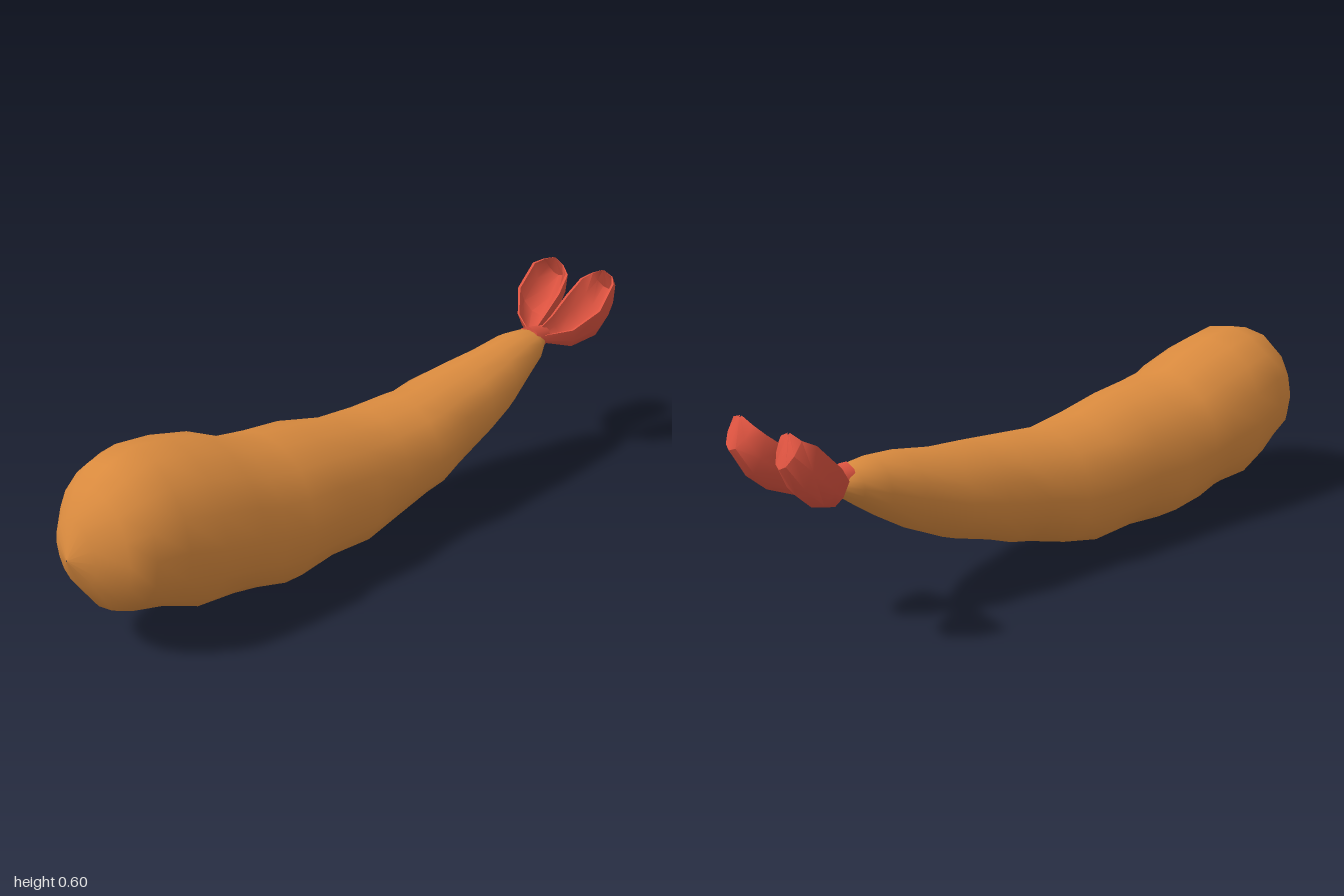
import * as THREE from 'three';
import { toCreasedNormals } from 'three/addons/utils/BufferGeometryUtils.js';

// Skin a list of closed rings (arrays of Vector3, all the same length).
function loft(rings, flip = false) {
  const n = rings[0].length, pos = [], idx = [];
  rings.forEach(r => r.forEach(p => pos.push(p.x, p.y, p.z)));
  for (let i = 0; i < rings.length - 1; i++) {
    for (let j = 0; j < n; j++) {
      const a = i * n + j, b = i * n + (j + 1) % n, c = a + n, d = b + n;
      if (flip) idx.push(a, b, c, b, d, c);
      else idx.push(a, c, b, b, c, d);
    }
  }
  const g = new THREE.BufferGeometry();
  g.setAttribute('position', new THREE.Float32BufferAttribute(pos, 3));
  g.setIndex(idx);
  return g;
}

// Body stations: z, top y, bottom y, right x, left x
const BODY = [
  [0.998, 0.29, 0.285, -0.002, 0.002],
  [0.97, 0.385, 0.21, -0.08, 0.08],
  [0.92, 0.46, 0.135, -0.14, 0.15],
  [0.87, 0.50, 0.115, -0.175, 0.19],
  [0.78, 0.522, 0.088, -0.205, 0.203],
  [0.67, 0.507, 0.05, -0.22, 0.212],
  [0.55, 0.478, 0.037, -0.217, 0.212],
  [0.47, 0.445, 0.02, -0.21, 0.205],
  [0.37, 0.43, 0.003, -0.20, 0.205],
  [0.25, 0.42, 0.015, -0.19, 0.20],
  [0.10, 0.39, 0.015, -0.185, 0.182],
  [-0.03, 0.378, 0.04, -0.177, 0.165],
  [-0.15, 0.388, 0.075, -0.15, 0.166],
  [-0.22, 0.39, 0.095, -0.147, 0.16],
  [-0.30, 0.402, 0.122, -0.14, 0.145],
  [-0.42, 0.415, 0.162, -0.13, 0.13],
  [-0.55, 0.435, 0.225, -0.10, 0.106],
  [-0.65, 0.445, 0.288, -0.083, 0.082],
  [-0.72, 0.441, 0.338, -0.062, 0.062],
  [-0.765, 0.425, 0.372, -0.035, 0.035],
  [-0.77, 0.4, 0.4, 0, 0],
];

// Bent, slightly lumpy body
function bodyGeometry() {
  const sides = 16;
  const g = loft(BODY.map(([z, top, bottom, x0, x1], i) => {
    const ring = [], cx = (x0 + x1) / 2, cy = (top + bottom) / 2;
    for (let j = 0; j < sides; j++) {
      const a = j / sides * Math.PI * 2;
      // lumps fade out on the silhouette axes
      const k = 1 + 0.025 * Math.sin(i * 2.1 + j * 1.7) * Math.abs(Math.sin(2 * a));
      ring.push(new THREE.Vector3(
        cx + Math.cos(a) * (x1 - x0) / 2 * k,
        cy + Math.sin(a) * (top - bottom) / 2 * k, z));
    }
    return ring;
  }));
  g.computeVertexNormals();
  return g;
}

// Fin stations: inner rim, bottom of the bowl, outer rim
const FIN = [
  [[0.005, 0.43, -0.765], [0.02, 0.39, -0.775], [0.035, 0.42, -0.765]],
  [[0.01, 0.465, -0.82], [0.06, 0.375, -0.84], [0.11, 0.445, -0.805]],
  [[0.012, 0.515, -0.885], [0.09, 0.40, -0.905], [0.162, 0.505, -0.865]],
  [[0.025, 0.562, -0.94], [0.1, 0.445, -0.955], [0.158, 0.575, -0.93]],
  [[0.055, 0.583, -0.955], [0.1, 0.52, -0.998], [0.135, 0.588, -0.955]],
  [[0.092, 0.6, -0.96], [0.095, 0.597, -0.965], [0.098, 0.6, -0.96]],
];

// Cupped shell with a thin rim; side is +1 or -1
function finGeometry(side) {
  const steps = 6;
  const rings = FIN.map(station => {
    const [inner, bowl, outer] = station.map(p => new THREE.Vector3(p[0] * side, p[1], p[2]));
    const mid = inner.clone().lerp(outer, 0.5);
    const across = outer.clone().sub(mid), depth = bowl.clone().sub(mid);
    const arc = (w, d) => Array.from({ length: steps + 1 }, (_, i) => {
      const a = i / steps * Math.PI;
      return mid.clone().addScaledVector(across, Math.cos(a) * w).addScaledVector(depth, Math.sin(a) * d);
    });
    return [...arc(1, 1), ...arc(0.88, 0.8).reverse()];
  });
  return toCreasedNormals(loft(rings, side > 0), 0.8);
}

export function createModel() {
  const crust = new THREE.MeshStandardMaterial({ name: 'golden crust', color: 0xd98a3e });
  const red = new THREE.MeshStandardMaterial({ name: 'tail red', color: 0xdd5340 });
  const model = new THREE.Group();
  model.name = 'friedPrawn';
  const add = (name, geometry, material) => {
    const mesh = new THREE.Mesh(geometry, material);
    mesh.name = name;
    model.add(mesh);
    return mesh;
  };

  add('body', bodyGeometry(), crust);

  // Short stalk joining body and fins
  const stalk = add('tailStalk', new THREE.CylinderGeometry(0.03, 0.042, 0.07, 8), red);
  stalk.position.set(0, 0.408, -0.762);
  stalk.rotation.x = -Math.PI / 2;

  add('leftTailFin', finGeometry(1), red);
  add('rightTailFin', finGeometry(-1), red);
  return model;
}
